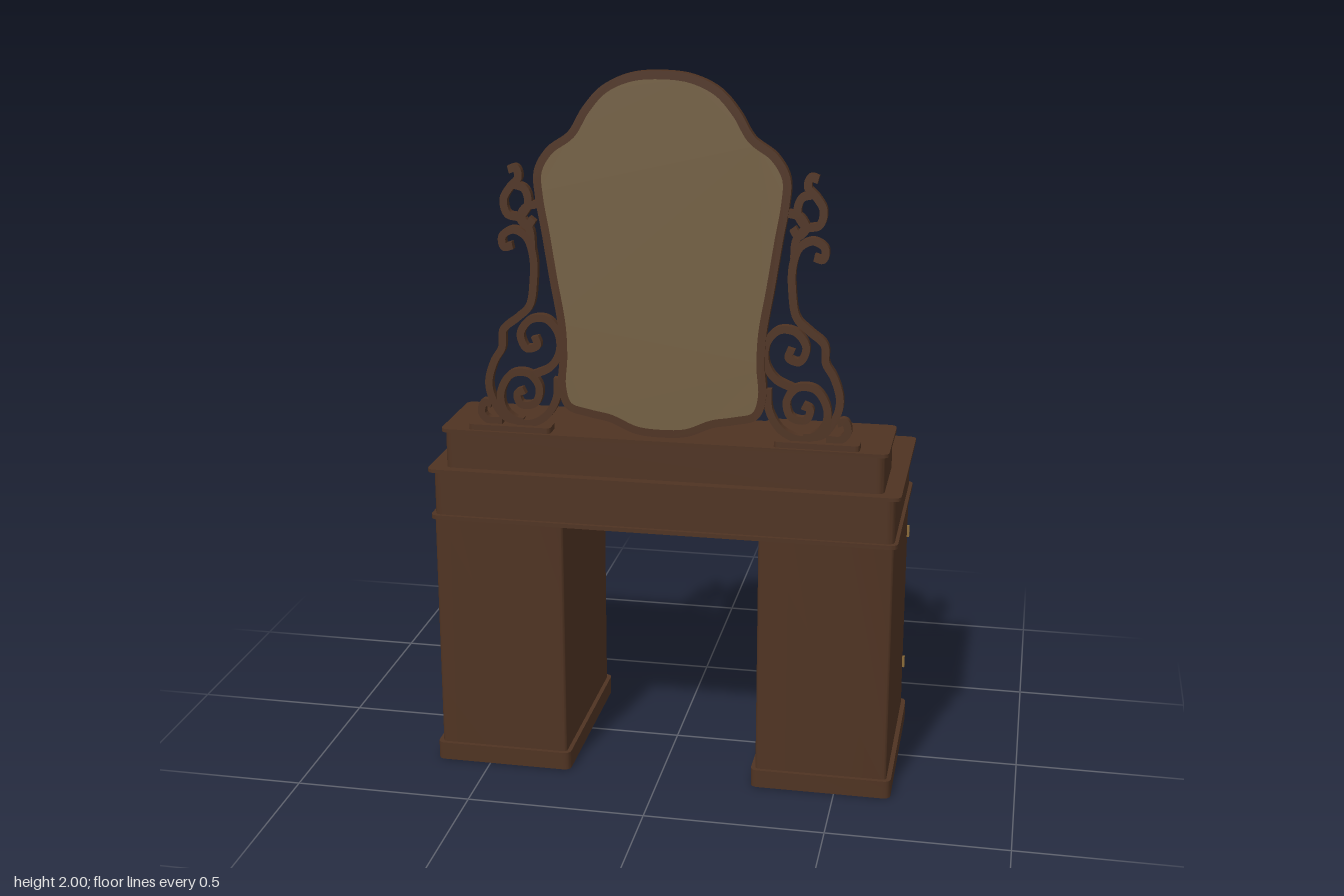
import * as THREE from 'three';
import { toCreasedNormals } from 'three/addons/utils/BufferGeometryUtils.js';

const paint = (name, color) => {
  const m = new THREE.MeshStandardMaterial({ color });
  m.name = name;
  return m;
};

export function createModel() {
  const wood = paint('walnut', 0x4f3322);
  const backing = paint('mirror backing', 0x735f42);
  const glass = paint('mirror glass', 0x262626);
  const brass = paint('brass', 0x8a6b38);

  const root = new THREE.Group();
  root.name = 'dressingTable';
  const add = (name, geo, mat, parent = root) => {
    const m = new THREE.Mesh(geo, mat);
    m.name = name;
    parent.add(m);
    return m;
  };
  const box = (name, mat, x, y, z, w, h, d) =>
    add(name, new THREE.BoxGeometry(w, h, d), mat).position.set(x, y, z);

  // Extrude a plan shape (drawn as x, -z) upwards from y0 to y1
  const slab = (name, shape, y0, y1) => {
    const g = new THREE.ExtrudeGeometry(shape, { depth: y1 - y0, bevelEnabled: false, curveSegments: 5 });
    g.rotateX(-Math.PI / 2).translate(0, y0, 0);
    return add(name, toCreasedNormals(g, 0.6), wood);
  };

  // Plan of a top: rounded corners and a stepped, hollow drawer side at -z
  const hollowPlan = (w, back, front, step = 0.262, r = 0.022) => {
    const F = -front, B = -back, s = new THREE.Shape();
    s.moveTo(-w + r, B);
    s.lineTo(w - r, B);
    s.quadraticCurveTo(w, B, w, B + r);
    s.lineTo(w, F - r);
    s.quadraticCurveTo(w, F, w - r, F);
    s.lineTo(step + 0.018, F);
    s.quadraticCurveTo(step, F, step, F - 0.018);
    s.lineTo(step - 0.006, F - 0.028);
    s.lineTo(0.2, F - 0.033);
    s.bezierCurveTo(0.13, F - 0.05, 0.12, F - 0.069, 0, F - 0.069);
    s.bezierCurveTo(-0.12, F - 0.069, -0.13, F - 0.05, -0.2, F - 0.033);
    s.lineTo(-step + 0.006, F - 0.028);
    s.lineTo(-step, F - 0.018);
    s.quadraticCurveTo(-step, F, -step - 0.018, F);
    s.lineTo(-w + r, F);
    s.quadraticCurveTo(-w, F, -w, F - r);
    s.lineTo(-w, B + r);
    s.quadraticCurveTo(-w, B, -w + r, B);
    return s;
  };

  const roundedPlan = (x0, x1, z0, z1, r) => {
    const s = new THREE.Shape(), a = -z1, b = -z0;
    s.moveTo(x0 + r, a);
    s.lineTo(x1 - r, a);
    s.quadraticCurveTo(x1, a, x1, a + r);
    s.lineTo(x1, b - r);
    s.quadraticCurveTo(x1, b, x1 - r, b);
    s.lineTo(x0 + r, b);
    s.quadraticCurveTo(x0, b, x0, b - r);
    s.lineTo(x0, a + r);
    s.quadraticCurveTo(x0, a, x0 + r, a);
    return s;
  };

  // Smooth path through 2D points, and a flat strip of given width along it
  const path = (pts, closed) =>
    new THREE.CatmullRomCurve3(pts.map(([x, y]) => new THREE.Vector3(x, y, 0)), closed);
  const strip = (pts, width, depth, closed = false) => {
    const curve = path(pts, closed), n = pts.length * 6;
    const left = [], right = [];
    for (let i = 0; i < (closed ? n : n + 1); i++) {
      const p = curve.getPoint(i / n), t = curve.getTangent(i / n);
      left.push(new THREE.Vector2(p.x - t.y * width / 2, p.y + t.x * width / 2));
      right.push(new THREE.Vector2(p.x + t.y * width / 2, p.y - t.x * width / 2));
    }
    const shape = new THREE.Shape(closed ? left : left.concat(right.reverse()));
    if (closed) shape.holes.push(new THREE.Path(right));
    const g = new THREE.ExtrudeGeometry(shape, { depth, bevelEnabled: false });
    return toCreasedNormals(g.translate(0, 0, -depth / 2), 0.6);
  };
  const knob = (x, y, z) => {
    const g = new THREE.SphereGeometry(0.008, 10, 8);
    add('drawerKnob', g, brass).position.set(x, y, z);
  };

  // Desk: lower moulding, drawer body, top
  slab('lowerMoulding', hollowPlan(0.655, 0.275, -0.275), 0.742, 0.754);
  slab('drawerBody', hollowPlan(0.645, 0.265, -0.265, 0.268), 0.754, 0.88);
  slab('deskTop', hollowPlan(0.66, 0.277, -0.28), 0.88, 0.89);

  // Raised drawer case on the top
  slab('upperCase', hollowPlan(0.612, 0.25, -0.007, 0.268), 0.89, 0.994);
  slab('upperCaseTop', hollowPlan(0.622, 0.257, -0.016), 0.994, 1.004);

  // Half outline of a door moulding, mirrored into a clockwise loop
  const quarter = [[0, 0.235], [0.035, 0.24], [0.05, 0.262], [0.09, 0.27], [0.128, 0.252],
    [0.132, 0.21], [0.105, 0.19], [0.104, 0.165], [0.12, 0.14], [0.112, 0.08], [0.112, 0]];
  const half = [...quarter, ...quarter.slice(0, -1).reverse().map(([x, y]) => [x, -y])];
  const loop = h => [...h, ...h.slice(1, -1).reverse().map(([x, y]) => [-x, y])];

  // Scrolls of the mirror support, on the +x side
  const scrolls = [
    // tall outer scroll
    [[0.39, 1.03], [0.44, 1.04], [0.475, 1.09], [0.485, 1.14], [0.468, 1.2], [0.445, 1.24], [0.44, 1.29],
      [0.4, 1.325], [0.365, 1.36], [0.352, 1.43], [0.352, 1.5], [0.37, 1.55], [0.405, 1.568],
      [0.436, 1.55], [0.432, 1.52], [0.408, 1.525]],
    // large lower spiral
    [[0.29, 1.16], [0.295, 1.1], [0.33, 1.045], [0.385, 1.025], [0.44, 1.055], [0.452, 1.11],
      [0.42, 1.165], [0.37, 1.168], [0.342, 1.13], [0.355, 1.085], [0.395, 1.08], [0.405, 1.11], [0.385, 1.12]],
    // heart scroll beside the frame
    [[0.36, 1.165], [0.31, 1.19], [0.283, 1.235], [0.287, 1.29], [0.32, 1.325], [0.365, 1.32],
      [0.392, 1.28], [0.375, 1.24], [0.345, 1.25], [0.352, 1.275]],
    // upper scroll and finial
    [[0.355, 1.52], [0.36, 1.57], [0.385, 1.6], [0.42, 1.61], [0.43, 1.65], [0.41, 1.685], [0.388, 1.71],
      [0.395, 1.735], [0.415, 1.73]],
    [[0.335, 1.64], [0.37, 1.63], [0.385, 1.6], [0.365, 1.58], [0.35, 1.6]],
    [[0.385, 1.6], [0.362, 1.64], [0.372, 1.68], [0.4, 1.69]],
    // small foot curl
    [[0.45, 1.03], [0.49, 1.03], [0.508, 1.05], [0.5, 1.08], [0.48, 1.075]],
  ];

  for (const s of [-1, 1]) {
    // Pedestal, plinth and door
    const span = (a, b) => (s > 0 ? [a, b] : [-b, -a]);
    slab('pedestal', roundedPlan(...span(0.274, 0.645), -0.262, 0.265, 0.012), 0.05, 0.745);
    slab('plinth', roundedPlan(...span(0.262, 0.658), -0.275, 0.277, 0.022), 0, 0.052);
    box('door', wood, s * 0.459, 0.398, -0.263, 0.35, 0.67, 0.007);
    const moulding = add('doorMoulding', strip(loop(half), 0.015, 0.01, true), wood);
    moulding.position.set(s * 0.457, 0.4, -0.269);
    box('keyPlate', brass, s * 0.302, 0.4, -0.268, 0.01, 0.03, 0.004);
    for (const y of [0.19, 0.61]) box('hinge', brass, s * 0.648, y, -0.24, 0.008, 0.035, 0.008);

    // Side drawers with knobs
    box('drawerFront', wood, s * 0.457, 0.817, -0.266, 0.33, 0.1, 0.006);
    box('upperDrawerFront', wood, s * 0.44, 0.943, -0.008, 0.3, 0.078, 0.006);
    knob(s * 0.457, 0.817, -0.274);
    knob(s * 0.457, 0.95, -0.015);

    // Mirror support
    const support = new THREE.Group();
    support.name = 'mirrorSupport';
    root.add(support);
    slab('supportFoot', roundedPlan(...span(0.31, 0.542), 0.188, 0.248, 0.012), 1.003, 1.02);
    for (const pts of scrolls) {
      const g = strip(pts.map(([x, y]) => [s * x, y]), 0.021, 0.022);
      add('scroll', g, wood, support).position.z = 0.22;
    }
  }
  knob(0, 0.817, -0.2);

  // Mirror: shaped frame, pale backing at +z, dark glass at -z
  const mirrorHalf = [[0, 1.99], [0.08, 1.982], [0.15, 1.95], [0.2, 1.895], [0.24, 1.83], [0.3, 1.785],
    [0.332, 1.73], [0.33, 1.66], [0.315, 1.57], [0.295, 1.44], [0.274, 1.31], [0.271, 1.22],
    [0.276, 1.14], [0.258, 1.085], [0.2, 1.067], [0.14, 1.055], [0.07, 1.026], [0, 1.02]];
  const outline = loop(mirrorHalf);
  add('mirrorFrame', strip(outline, 0.022, 0.026, true), wood).position.z = 0.222;
  add('mirrorFrameLip', strip(outline.map(([x, y]) => [x * 0.955, 1.5 + (y - 1.5) * 0.972]), 0.02, 0.008, true), wood)
    .position.z = 0.215;
  const pane = new THREE.Shape(path(outline, true).getPoints(150).slice(0, -1).map(p => new THREE.Vector2(p.x, p.y)));
  const paneGeo = new THREE.ExtrudeGeometry(pane, { depth: 0.007, bevelEnabled: false });
  add('mirrorBacking', paneGeo, backing).position.z = 0.225;
  add('mirrorGlass', paneGeo, glass).position.z = 0.217;

  return root;
}
